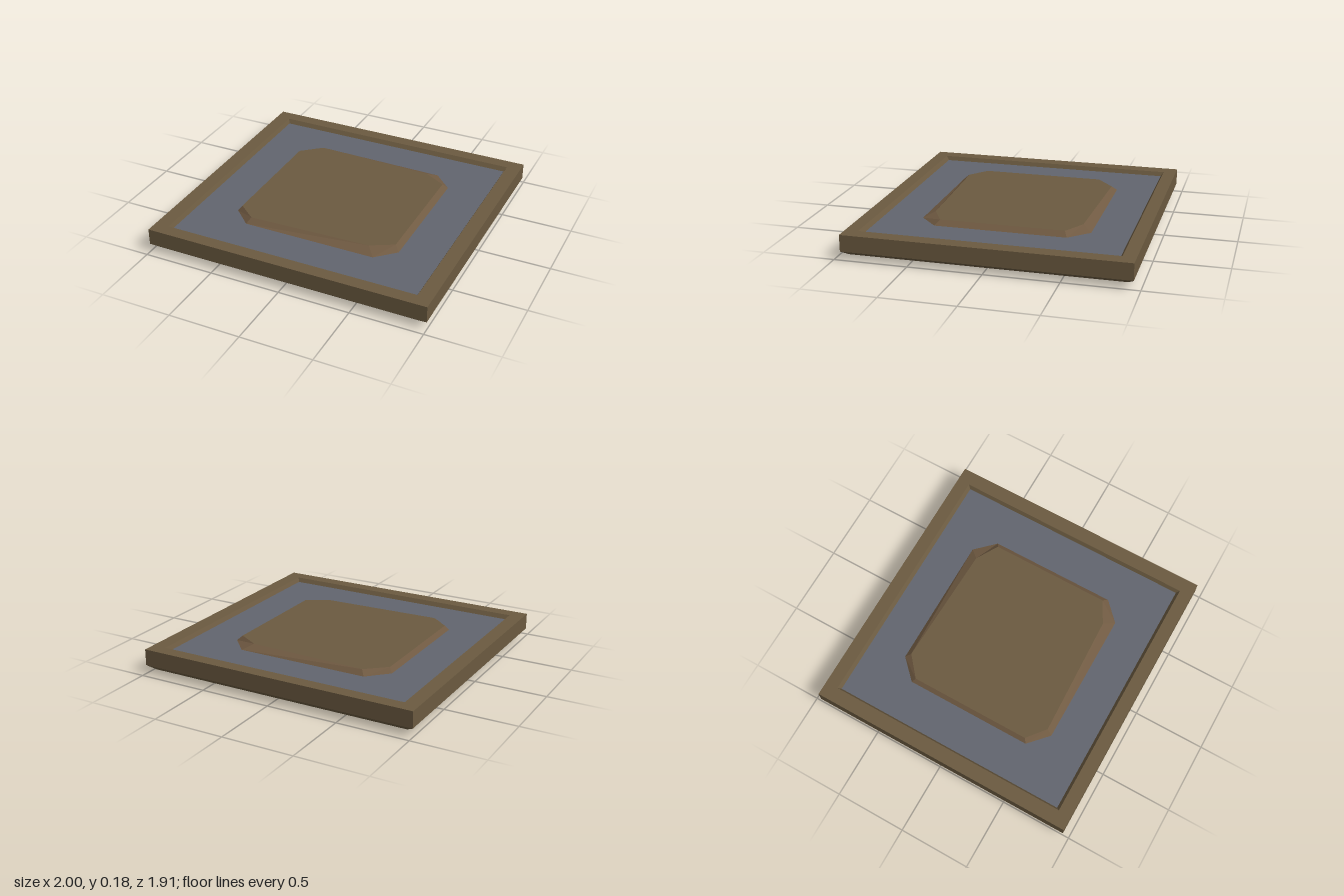
import * as THREE from 'three';

const mat = (name, color) => {
  const m = new THREE.MeshStandardMaterial({ color });
  m.name = name;
  return m;
};

// Chamfered rectangle as [x, z] points, counter-clockwise seen from above
function outline(hx, hz, cut = 0, cx = 0, cz = 0) {
  const pts = cut
    ? [[hx, hz - cut], [hx, cut - hz], [hx - cut, -hz], [cut - hx, -hz],
       [-hx, cut - hz], [-hx, hz - cut], [cut - hx, hz], [hx - cut, hz]]
    : [[hx, hz], [hx, -hz], [-hx, -hz], [-hx, hz]];
  return pts.map(([x, z]) => [x + cx, z + cz]);
}

// Flat-faced skin over successive rings { y, pts }, with optional end caps
function loft(rings, capStart = false, capEnd = false) {
  const v = [];
  const put = (r, i) => v.push(r.pts[i][0], r.y, r.pts[i][1]);
  const n = rings[0].pts.length;
  for (let k = 0; k < rings.length - 1; k++) {
    const a = rings[k], b = rings[k + 1];
    for (let i = 0; i < n; i++) {
      const j = (i + 1) % n;
      put(a, i); put(a, j); put(b, j);
      put(a, i); put(b, j); put(b, i);
    }
  }
  const first = rings[0], last = rings[rings.length - 1];
  for (let i = 1; i < n - 1; i++) {
    if (capStart) { put(first, 0); put(first, i + 1); put(first, i); }
    if (capEnd) { put(last, 0); put(last, i); put(last, i + 1); }
  }
  const g = new THREE.BufferGeometry();
  g.setAttribute('position', new THREE.Float32BufferAttribute(v, 3));
  g.computeVertexNormals();
  return g;
}

const ring = (y, pts) => ({ y, pts });

export function createModel() {
  const group = new THREE.Group();
  const brown = mat('brown', 0x6b5a40);
  const warmBrown = mat('warm brown', 0x705a42);
  const grey = mat('slate grey', 0x61656e);

  const add = (name, geometry, material) => {
    const m = new THREE.Mesh(geometry, material);
    m.name = name;
    group.add(m);
    return m;
  };

  // Tray: bevelled underside edge, straight sides, rim and sunken inner wall
  const floorPts = outline(0.885, 0.845);
  add('trayFrame', loft([
    ring(0.025, outline(0.945, 0.915)),
    ring(0.06, outline(1, 0.955)),
    ring(0.174, outline(1, 0.955)),
    ring(0.174, outline(0.9, 0.865)),
    ring(0.145, floorPts),
  ]), brown);
  add('trayFloor', loft([ring(0.145, floorPts)], false, true), grey);

  // Raised centre pad with uneven bevels
  const padBase = [[0.6, 0.45], [0.6, -0.45], [0.47, -0.585], [-0.47, -0.585],
    [-0.605, -0.45], [-0.605, 0.45], [-0.47, 0.575], [0.47, 0.575]];
  const padTop = [[0.565, 0.42], [0.565, -0.43], [0.41, -0.52], [-0.44, -0.55],
    [-0.58, -0.43], [-0.58, 0.43], [-0.45, 0.535], [0.41, 0.505]];
  add('padBevel', loft([ring(0.145, padBase), ring(0.178, padTop)]), warmBrown);
  add('padTop', loft([ring(0.178, padTop)], false, true), brown);

  // Underside with a square opening and a long slot
  const square = outline(0.34, 0.325, 0, 0, -0.235);
  const slot = outline(0.46, 0.1, 0.05, 0, 0.62);
  const toVectors = (pts) => pts.map(([x, z]) => new THREE.Vector2(x, z));
  const face = new THREE.Shape(toVectors(outline(0.945, 0.915)));
  for (const hole of [square, slot]) face.holes.push(new THREE.Path(toVectors(hole)));
  add('underside', new THREE.ShapeGeometry(face).rotateX(Math.PI / 2).translate(0, 0.025, 0), brown);

  // Square socket: low sloped collar, straight walls, grey panel
  const socket = outline(0.3, 0.295, 0, 0, -0.225);
  add('socketWalls', loft([ring(0.09, socket), ring(0.012, socket), ring(0.025, square)]), brown);
  add('socketPanel', loft([ring(0.09, socket)], true), grey);

  // Long slot with a bar inside
  add('slotWalls', loft([ring(0.1, slot), ring(0.025, slot)]), brown);
  add('slotPanel', loft([ring(0.1, slot)], true), grey);
  add('slotBar', loft([
    ring(0.04, outline(0.43, 0.035, 0.02, 0, 0.6)),
    ring(0.1, outline(0.44, 0.05, 0.02, 0, 0.6)),
  ], true), grey);

  // Pair of faceted studs
  for (const side of [-1, 1]) {
    const stud = add(side > 0 ? 'leftStud' : 'rightStud',
      new THREE.CylinderGeometry(0.072, 0.055, 0.03, 8).toNonIndexed(), grey);
    stud.geometry.computeVertexNormals();
    stud.position.set(side * 0.685, 0.015, 0.64);
  }

  return group;
}
